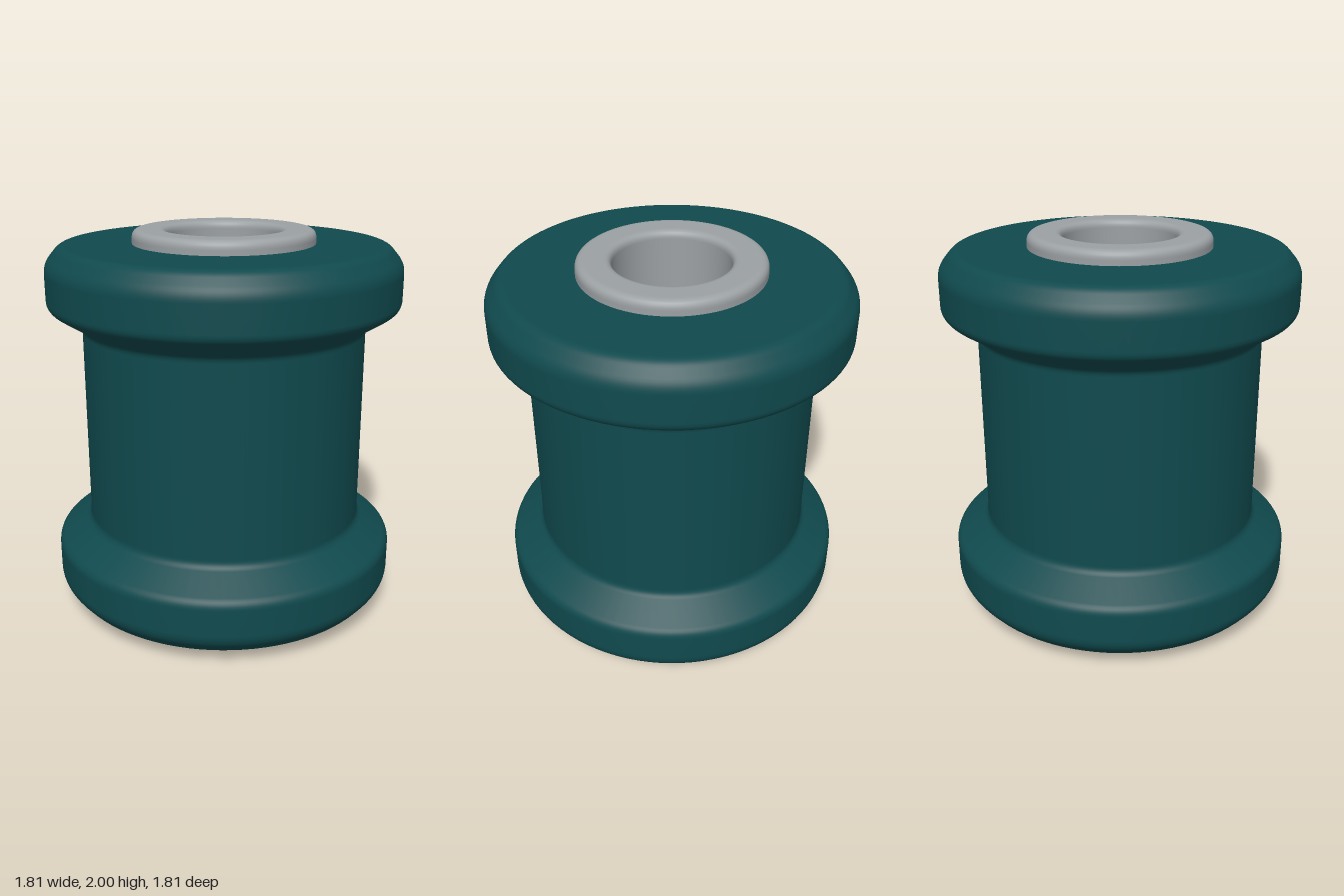
import * as THREE from 'three';

// Turn corners [radius, height, fillet] into a profile with rounded corners
function roundedProfile(corners, closed) {
  const n = corners.length;
  const points = [];
  corners.forEach(([r, y, fillet], i) => {
    const corner = new THREE.Vector2(r, y);
    if (!fillet) { points.push(corner); return; }
    const towards = (k) => {
      const [a, b] = corners[(k + n) % n];
      return new THREE.Vector2(a - r, b - y).normalize().multiplyScalar(fillet).add(corner);
    };
    const arc = new THREE.QuadraticBezierCurve(towards(i - 1), corner, towards(i + 1));
    points.push(...arc.getPoints(6));
  });
  if (closed) points.push(points[0].clone());
  return points;
}

function turnedPart(name, corners, closed, material) {
  const geometry = new THREE.LatheGeometry(roundedProfile(corners, closed), 96);
  const mesh = new THREE.Mesh(geometry, material);
  mesh.name = name;
  return mesh;
}

export function createModel() {
  const rubber = new THREE.MeshStandardMaterial({ color: 0x104a4e });
  rubber.name = 'dark teal rubber';
  const metal = new THREE.MeshStandardMaterial({ color: 0x9ca1a4 });
  metal.name = 'grey metal';

  const group = new THREE.Group();
  group.name = 'bushing';

  // Rubber spool: lower half, mirrored upward about the middle
  const lowerHalf = [
    [0.44, 0.07, 0],
    [0.83, 0.07, 0.035],
    [0.905, 0.16, 0.04],
    [0.905, 0.37, 0.035],
    [0.73, 0.48, 0.03],
  ];
  const upperHalf = lowerHalf.map(([r, y, f]) => [r, 2 - y, f]).reverse();
  group.add(turnedPart('rubberSpool', [...lowerHalf, ...upperHalf], false, rubber));

  // Metal sleeve with an open bore and rounded rims
  const sleeve = [
    [0.29, 0, 0.04],
    [0.465, 0, 0.045],
    [0.465, 2, 0.045],
    [0.29, 2, 0.04],
  ];
  group.add(turnedPart('innerSleeve', sleeve, true, metal));

  return group;
}
